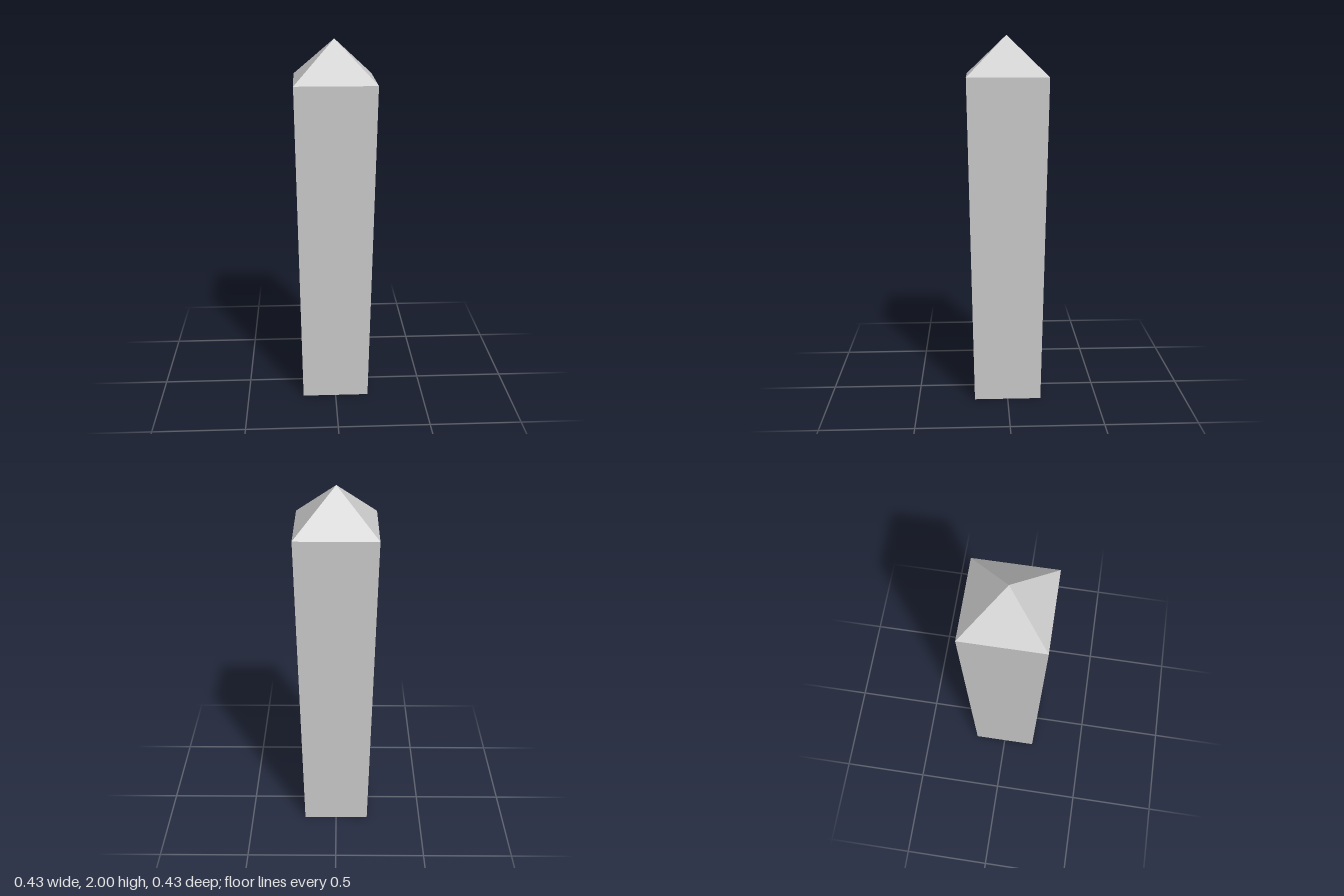
import * as THREE from 'three';

const SHOULDER = 1.79; // height where the shaft meets the cap
const HEIGHT = 2;
const BASE_HALF = 0.185;
const TOP_HALF = 0.214;

// Square frustum with sides facing the axes, standing on y0
function squareFrustum(name, bottomHalf, topHalf, y0, y1, openEnded, material) {
  const geometry = new THREE.CylinderGeometry(
    topHalf * Math.SQRT2, bottomHalf * Math.SQRT2, y1 - y0, 4, 1, openEnded, Math.PI / 4);
  geometry.translate(0, (y0 + y1) / 2, 0);
  const mesh = new THREE.Mesh(geometry, material);
  mesh.name = name;
  return mesh;
}

export function createModel() {
  const group = new THREE.Group();
  group.name = 'post';
  const material = new THREE.MeshStandardMaterial({ color: 0xcccccc, flatShading: true });

  // Shaft, widening slightly towards the top
  group.add(squareFrustum('shaft', BASE_HALF, TOP_HALF, 0, SHOULDER, false, material));

  // Pyramid cap
  group.add(squareFrustum('cap', TOP_HALF, 0, SHOULDER, HEIGHT, true, material));

  return group;
}
